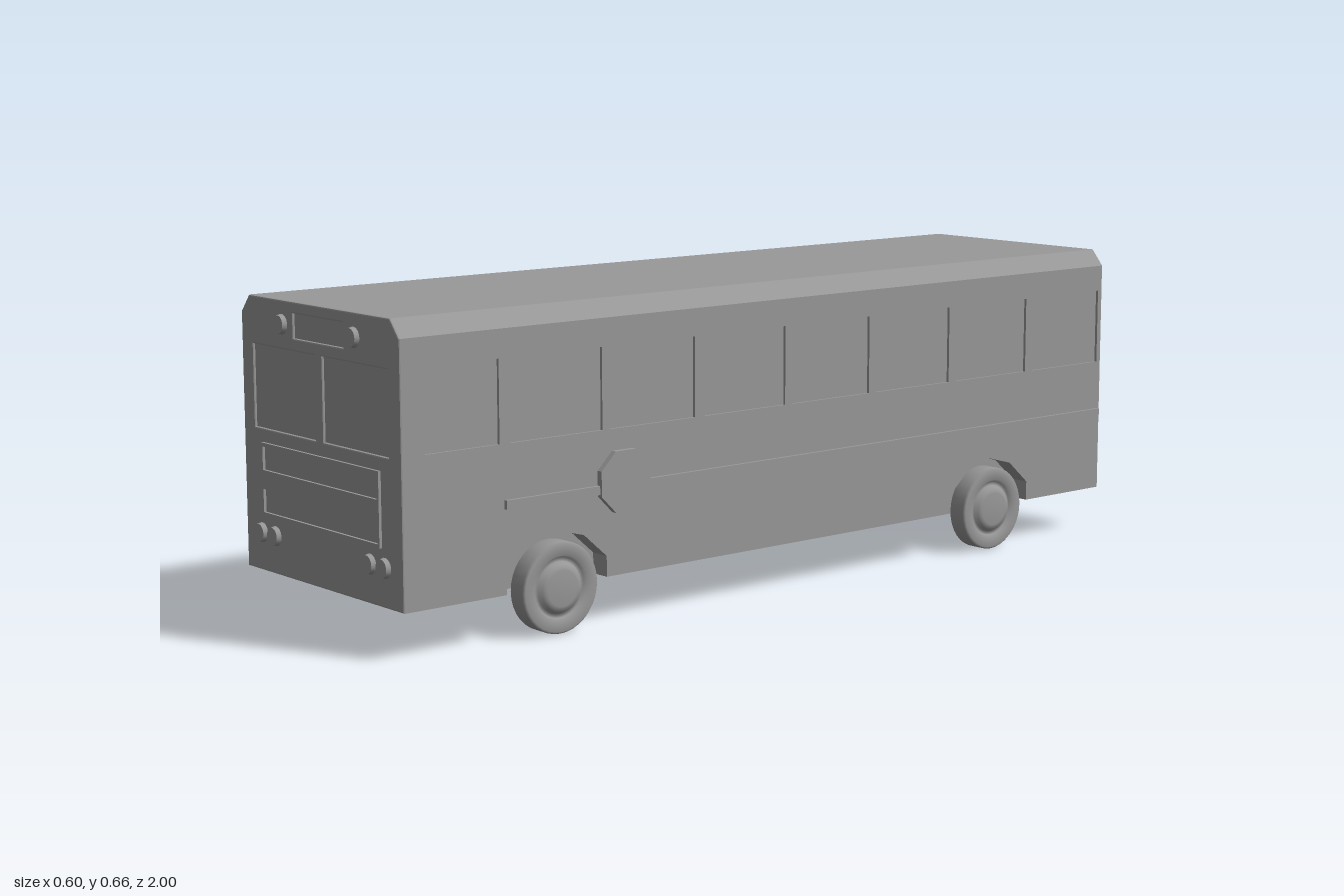
import * as THREE from 'three';

const grey = new THREE.MeshStandardMaterial({ color: 0x999999 });
grey.name = 'plain grey';

const HALF = 0.282, CORE = 0.238, SKIN = 0.276, BOTTOM = 0.096, END = 0.984;
const AXLES = [0.622, -0.617];
const WINDOW_Y = [0.397, 0.565];

export function createModel() {
  const bus = new THREE.Group();
  bus.name = 'bus';

  const add = (name, geometry, x = 0, y = 0, z = 0) => {
    const mesh = new THREE.Mesh(geometry, grey);
    mesh.name = name;
    mesh.position.set(x, y, z);
    bus.add(mesh);
    return mesh;
  };
  const polygon = (points) => new THREE.Shape(points.map(([x, y]) => new THREE.Vector2(x, y)));
  const rect = (x0, x1, y0, y1) => polygon([[x0, y0], [x1, y0], [x1, y1], [x0, y1]]);
  const extrude = (shape, depth) => new THREE.ExtrudeGeometry(shape, { depth, bevelEnabled: false });

  // Central hull: narrow below so the wheel arches stay open, full width at the roof
  const roof = [[HALF, 0.623], [0.252, 0.659], [-0.252, 0.659], [-HALF, 0.623]];
  const hull = polygon([[-CORE, BOTTOM], [CORE, BOTTOM], [CORE, 0.6], [HALF, 0.6],
    ...roof, [-HALF, 0.6], [-CORE, 0.6]]);
  add('hull', extrude(hull, 2 * END), 0, 0, -END);

  // Side walls: inner layer with arches, outer skin with window and door openings
  const windows = [[0.734, 0.506], [0.488, 0.263], [0.238, 0.013], [-0.008, -0.233],
    [-0.255, -0.48], [-0.504, -0.73], [-0.753, -0.976]];
  const arch = [[0.125, BOTTOM], [0.125, 0.139], [0.067, 0.19], [0, 0.208],
    [-0.067, 0.19], [-0.125, 0.139], [-0.125, BOTTOM]];

  for (const side of [1, -1]) {
    const wall = () => {
      const points = [[END, 0.6], [END, BOTTOM]];
      for (const axle of AXLES) for (const [dz, y] of arch) points.push([axle + dz, y]);
      points.push([-END, BOTTOM], [-END, 0.6]);
      return polygon(points.map(([z, y]) => [-side * z, y]));
    };
    const place = (name, shape, from, to) =>
      add(name, extrude(shape, to - from).rotateY(side * Math.PI / 2), side * from, 0, 0);

    place('sideWall', wall(), CORE, SKIN);
    const skin = wall();
    for (const [z0, z1] of windows) {
      skin.holes.push(rect(-side * z0, -side * z1, ...WINDOW_Y));
    }
    // driver window on the left, entrance door on the right
    skin.holes.push(rect(-side * 0.935, -side * 0.76, side > 0 ? WINDOW_Y[0] : 0.118, WINDOW_Y[1]));
    place('sideSkin', skin, SKIN, HALF);

    add('rubRail', new THREE.BoxGeometry(0.01, 0.018, 1.73), side * 0.285, 0.277, -0.115);
  }

  // Bevelled front and rear panels with recessed openings
  const endPanel = (name, openings, sign) => {
    const shape = polygon([[-HALF, BOTTOM], [HALF, BOTTOM], ...roof]);
    shape.holes.push(...openings.map((o) => rect(...o)));
    const geometry = new THREE.ExtrudeGeometry(shape, {
      depth: 0.004, bevelThickness: 0.003, bevelSize: 0.003, bevelOffset: -0.003, bevelSegments: 2,
    });
    if (sign < 0) geometry.rotateY(Math.PI);
    add(name, geometry, 0, 0, sign * 0.983);
  };
  endPanel('frontPanel', [
    [-0.242, -0.014, 0.391, 0.561], [0.013, 0.241, 0.391, 0.561], [-0.09, 0.092, 0.586, 0.636],
  ], 1);
  endPanel('rearPanel', [[-0.268, 0.268, 0.391, 0.561]], -1);

  // Grille frame with two slots, and the rear hatch
  const grille = rect(-0.212, 0.213, 0.2125, 0.363);
  grille.holes.push(rect(-0.205, 0.207, 0.22, 0.268), rect(-0.205, 0.207, 0.307, 0.355));
  add('grille', extrude(grille, 0.008), 0, 0, 0.988);
  add('rearHatch', new THREE.BoxGeometry(0.19, 0.1, 0.008), 0.005, 0.235, -0.991);

  // Round lamps on both ends
  const lamps = [[0.129, 0.611], [0.171, 0.175], [0.222, 0.175]];
  for (const end of [1, -1]) {
    for (const side of [1, -1]) {
      for (const [x, y] of lamps) {
        const lamp = new THREE.CylinderGeometry(0.0185, 0.021, 0.012, 24).rotateX(end * Math.PI / 2);
        add('lamp', lamp, side * x, y, end * 0.994);
      }
    }
  }

  // Octagonal stop paddle on the left side
  const paddle = new THREE.CylinderGeometry(0.068, 0.068, 0.014, 8, 1, false, Math.PI / 8);
  const sign = add('stopPaddle', paddle.toNonIndexed().rotateZ(-Math.PI / 2), 0.288, 0.29, 0.456);
  sign.geometry.computeVertexNormals();

  // Wheels: tyre, recessed rim and raised hub turned as one profile (radius, width)
  const profile = [[0, 0], [0.088, 0], [0.0935, 0.005], [0.0935, 0.043], [0.089, 0.048],
    [0.066, 0.048], [0.062, 0.04], [0.053, 0.04], [0.049, 0.049], [0.041, 0.049],
    [0.037, 0.053], [0, 0.053]].map(([r, w]) => new THREE.Vector2(r, w));
  for (const z of AXLES) {
    for (const side of [1, -1]) {
      const wheel = new THREE.LatheGeometry(profile, 36).rotateZ(-side * Math.PI / 2);
      add('wheel', wheel, side * 0.247, 0.0935, z);
    }
  }

  return bus;
}
